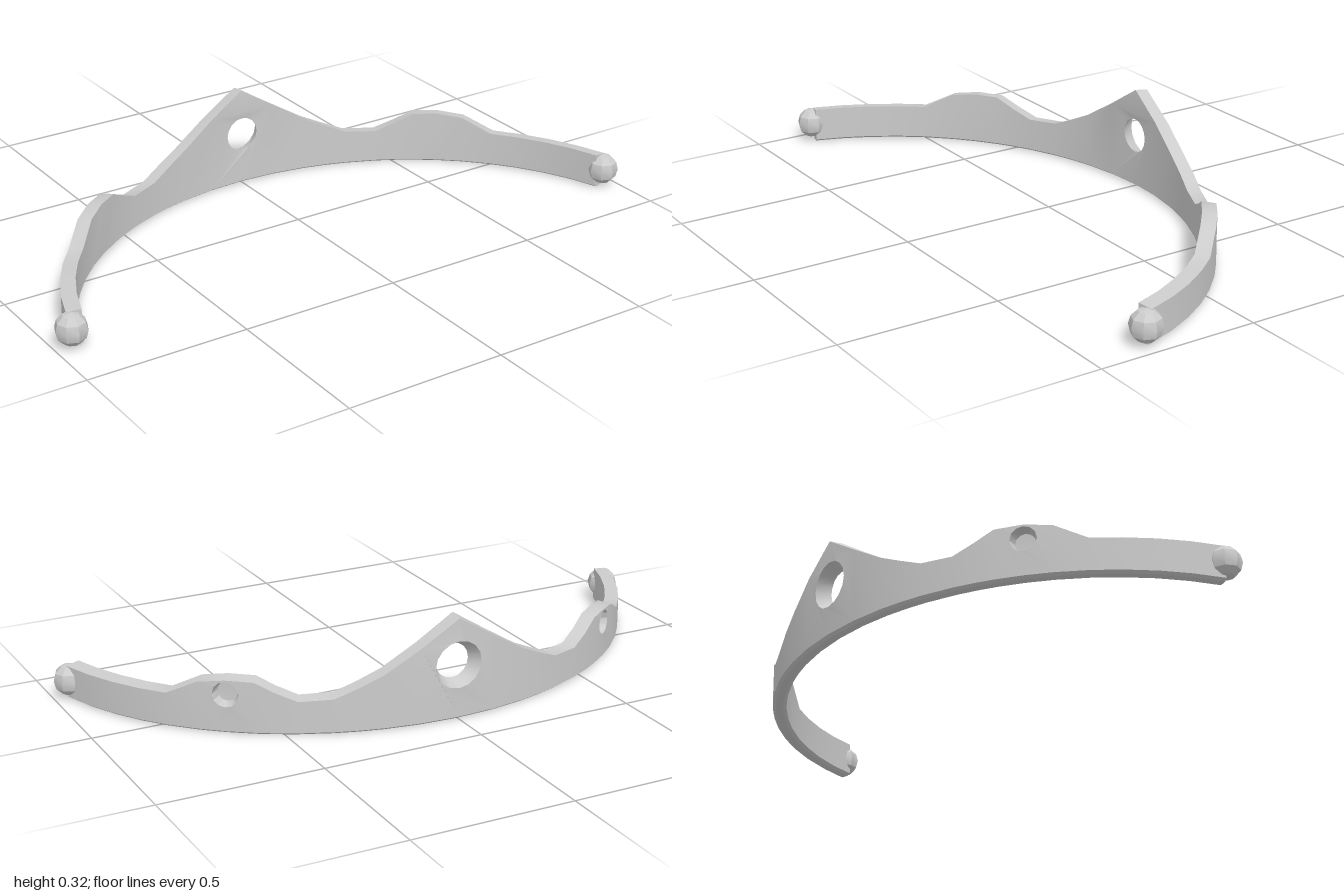
import * as THREE from 'three';
import { toCreasedNormals } from 'three/addons/utils/BufferGeometryUtils.js';

const material = new THREE.MeshStandardMaterial({ color: 0xcccccc });
const HALF = 0.022; // half the band thickness
const CHAMFER = 0.007;
const deg = Math.PI / 180;

// Half outline of the upper edge: angle along the band, height
const outline = [
  [0, 0.32], [7, 0.245], [13.5, 0.178], [18, 0.143], [22, 0.115], [28, 0.11], [32, 0.138],
  [35.5, 0.168], [40.5, 0.17], [45.5, 0.159], [51.5, 0.112], [57, 0.112],
  [63, 0.112], [69, 0.112], [75, 0.112],
];
const columns = [...outline.slice(1).reverse().map(([a, y]) => [-a, y]), ...outline];

// Point on the band: angle in degrees, height, outward offset
function onBand(angle, y, offset) {
  const t = angle * deg;
  const n = new THREE.Vector2(0.9 * Math.sin(t), -0.973 * Math.cos(t)).normalize();
  // ellipse normal is (sin/a, -cos/b), scaled here by a*b
  return new THREE.Vector3(
    0.973 * Math.sin(t) + n.x * offset, y, 0.553 - 0.9 * Math.cos(t) + n.y * offset);
}

// Circle in (angle, height) space, counter-clockwise
function circle(angle, y, r, sides = 16) {
  return Array.from({ length: sides }, (_, i) => {
    const t = (i / sides) * Math.PI * 2;
    return new THREE.Vector2(angle + (r * Math.cos(t)) / 0.95 / deg, y + r * Math.sin(t));
  });
}

function buildBand() {
  const positions = [];
  const tri = (...pts) => pts.forEach((p) => positions.push(p.x, p.y, p.z));
  const quad = (a, b, c, d) => { tri(a, b, c); tri(a, c, d); };

  // One wall of the band between neighbouring columns, with an optional hole
  function face(cols, outer, hole) {
    const drop = outer ? 0.006 : 0;
    const contour = [
      ...cols.map(([a]) => new THREE.Vector2(a, CHAMFER)),
      ...[...cols].reverse().map(([a, y]) => new THREE.Vector2(a, y - drop)),
    ];
    const holes = hole ? [hole] : [];
    const all = [...contour, ...(hole || [])];
    for (const f of THREE.ShapeUtils.triangulateShape(contour, holes)) {
      const p = f.map((i) => onBand(all[i].x, all[i].y, outer ? HALF : -HALF));
      if (outer) p.reverse();
      tri(...p);
    }
  }

  // Wall of a hole, from its outer rim to its inner rim
  function holeWall(outerRim, innerRim, depthOffset) {
    outerRim.forEach((p, i) => {
      const j = (i + 1) % outerRim.length;
      const q = outerRim[j], r = innerRim[i], s = innerRim[j];
      quad(onBand(p.x, p.y, HALF), onBand(r.x, r.y, depthOffset),
        onBand(s.x, s.y, depthOffset), onBand(q.x, q.y, HALF));
    });
  }

  // Inner and outer walls, with the centre hole and the two side recesses
  const last = columns.length - 1;
  const mid = last / 2;
  for (let i = 0; i < last; i++) {
    if (i === mid) continue;
    if (i === mid - 1) {
      const cols = columns.slice(i, i + 3);
      const outerRim = circle(0, 0.17, 0.073), innerRim = circle(0, 0.17, 0.054);
      face(cols, true, outerRim);
      face(cols, false, innerRim);
      holeWall(outerRim, innerRim, -HALF);
      continue;
    }
    const a0 = columns[i][0], a1 = columns[i + 1][0];
    // the recess spans two columns, starting at 35.5 or -45.5 degrees
    if (a0 === 40.5 || a0 === -40.5) continue;
    if (a0 === 35.5 || a0 === -45.5) {
      const cols = columns.slice(i, i + 3);
      const rim = circle(a1, 0.12, 0.039, 12), floor = circle(a1, 0.12, 0.031, 12);
      face(cols, true, rim);
      face(cols, false);
      holeWall(rim, floor, -0.01);
      floor.forEach((p, k) => {
        const q = floor[(k + 1) % floor.length];
        tri(onBand(a1, 0.12, -0.012), onBand(q.x, q.y, -0.01), onBand(p.x, p.y, -0.01));
      });
      continue;
    }
    face(columns.slice(i, i + 2), true);
    face(columns.slice(i, i + 2), false);
  }

  // Upper edge, chamfered lower edge and end caps
  const section = ([a, y]) => [
    onBand(a, y - 0.006, HALF), onBand(a, y, -HALF), onBand(a, CHAMFER, -HALF),
    onBand(a, 0, -HALF + 0.01), onBand(a, 0, HALF - 0.01), onBand(a, CHAMFER, HALF),
  ];
  for (let i = 0; i < last; i++) {
    const s = section(columns[i]), t = section(columns[i + 1]);
    for (const k of [0, 2, 3, 4]) quad(s[k], s[k + 1], t[k + 1], t[k]);
  }
  const start = section(columns[0]), end = section(columns[last]);
  for (let k = 1; k < 5; k++) {
    tri(end[0], end[k], end[k + 1]);
    tri(start[0], start[k + 1], start[k]);
  }

  const geometry = new THREE.BufferGeometry();
  geometry.setAttribute('position', new THREE.Float32BufferAttribute(positions, 3));
  return toCreasedNormals(geometry, 0.5);
}

export function createModel() {
  const group = new THREE.Group();
  group.name = 'tiara';

  const band = new THREE.Mesh(buildBand(), material);
  band.name = 'band';
  group.add(band);

  // Faceted bead on each end of the band
  const beadGeometry = toCreasedNormals(new THREE.SphereGeometry(0.049, 8, 6), 0.5);
  for (const side of [1, -1]) {
    const bead = new THREE.Mesh(beadGeometry, material);
    bead.name = side > 0 ? 'leftEndBead' : 'rightEndBead';
    bead.position.set(side * 0.951, 0.059, 0.323);
    group.add(bead);
  }
  return group;
}
